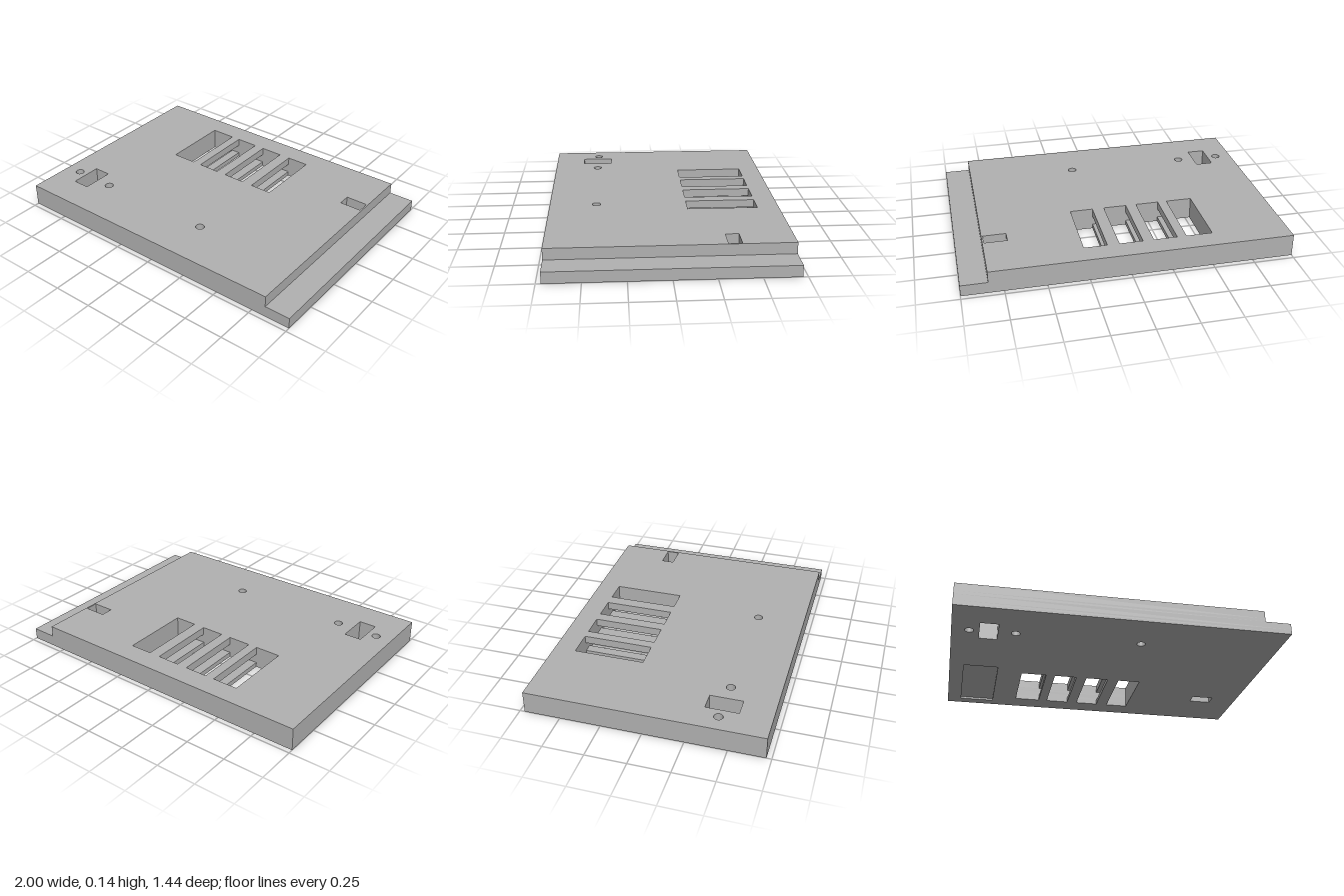
import * as THREE from 'three';

const grey = new THREE.MeshStandardMaterial({ color: 0xb0b0b0 });
grey.name = 'plain grey';

// Rectangle in plan, given as x and z ranges
function rect(Type, x0, x1, z0, z1) {
  const p = new Type();
  p.moveTo(x0, -z1);
  p.lineTo(x1, -z1);
  p.lineTo(x1, -z0);
  p.lineTo(x0, -z0);
  p.closePath();
  return p;
}

const hole = (...r) => rect(THREE.Path, ...r);

// One horizontal slab of the plate with its openings
function slab(name, y0, y1, xMax, holes) {
  const shape = rect(THREE.Shape, -1, xMax, -0.72, 0.72);
  shape.holes.push(...holes);
  const geo = new THREE.ExtrudeGeometry(shape, { depth: y1 - y0, bevelEnabled: false, curveSegments: 16 });
  geo.rotateX(-Math.PI / 2);
  geo.translate(0, y0, 0);
  const mesh = new THREE.Mesh(geo, grey);
  mesh.name = name;
  return mesh;
}

export function createModel() {
  const group = new THREE.Group();
  group.name = 'slottedPlate';

  // Openings that pass through the whole plate
  const through = [hole(-0.835, -0.725, 0.325, 0.525), hole(0.69, 0.83, -0.405, -0.325)];
  for (const [x, z] of [[-0.895, 0.42], [-0.62, 0.425], [0.145, 0.425]]) {
    const round = new THREE.Path();
    round.absarc(x, -z, 0.027, 0, Math.PI * 2, true);
    through.push(round);
  }

  // Four long slots, joined at mid height under the ribs
  const slots = [[-0.53, -0.368], [-0.31, -0.165], [-0.098, 0.046], [0.12, 0.262]]
    .map(([a, b]) => hole(a, b, -0.585, -0.145));
  const chamber = hole(-0.53, 0.262, -0.585, -0.145);

  // Shallow recess in the underside
  const recess = hole(-0.91, -0.69, -0.65, -0.08);

  group.add(
    slab('recessedUnderside', 0, 0.012, 1, [...through, ...slots, recess]),
    slab('lowerRibs', 0.012, 0.03, 1, [...through, ...slots]),
    slab('steppedBase', 0.03, 0.07, 1, [...through, chamber]),
    slab('upperBody', 0.07, 0.09, 0.84, [...through, chamber]),
    slab('topPlate', 0.09, 0.14, 0.84, [...through, ...slots])
  );
  return group;
}
